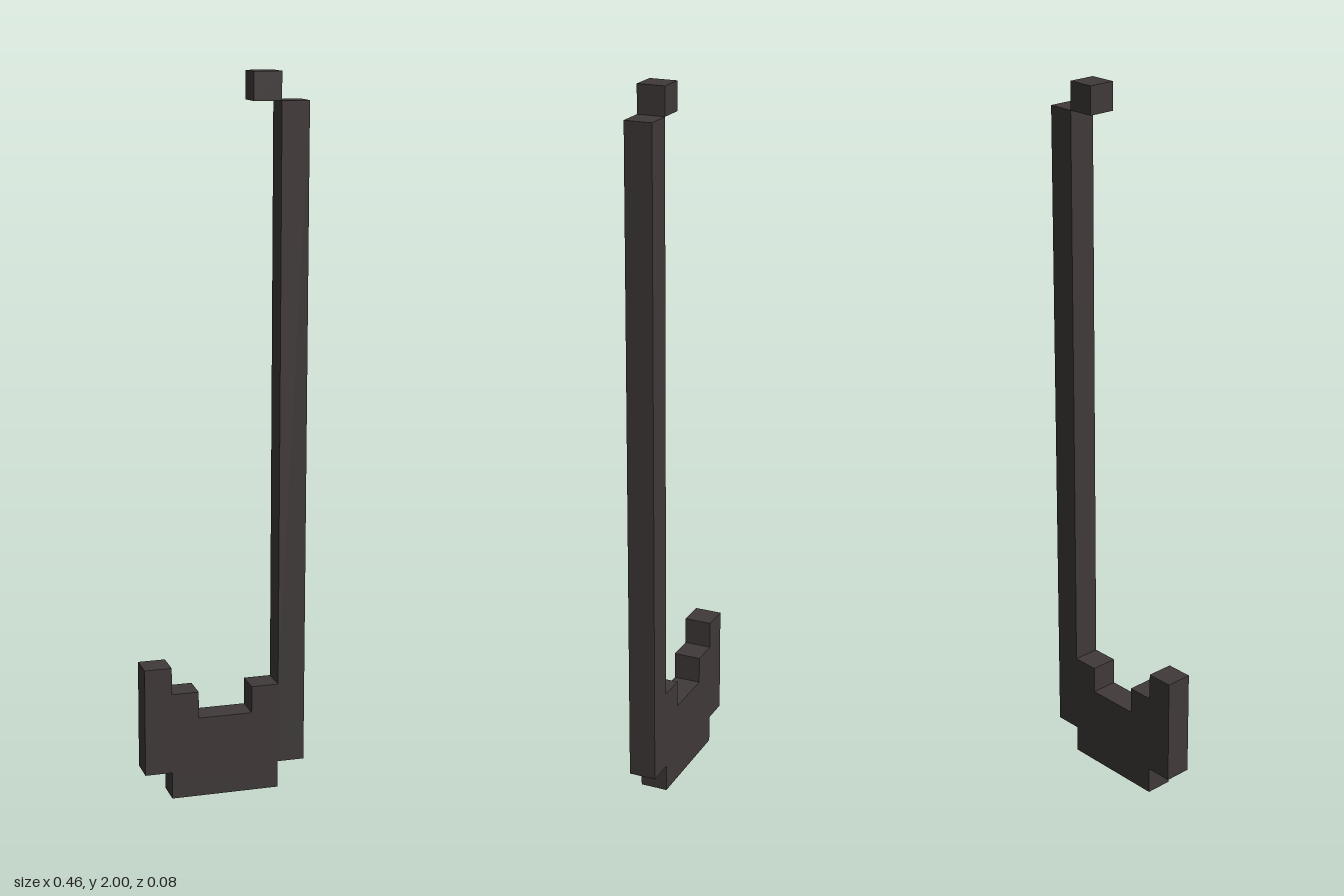
import * as THREE from 'three';

// One block of the grid: the model is 26 blocks tall, 6 wide, 1 deep
const U = 2 / 26;

export function createModel() {
  const model = new THREE.Group();
  model.name = 'hookedBar';

  const darkIron = new THREE.MeshStandardMaterial({ color: 0x403a39 });
  darkIron.name = 'darkIron';

  // Stepped hook and tall shaft as one outline, in block units, counter-clockwise
  const outline = [
    [-2, 0], [2, 0], [2, 1], [3, 1], [3, 25], [2, 25], [2, 4], [1, 4],
    [1, 3], [-1, 3], [-1, 4], [-2, 4], [-2, 5], [-3, 5], [-3, 1], [-2, 1],
  ].map(([x, y]) => new THREE.Vector2(x * U, y * U));
  const hookGeometry = new THREE.ExtrudeGeometry(new THREE.Shape(outline), {
    depth: U,
    bevelEnabled: false,
  });
  hookGeometry.translate(0, 0, -U / 2);
  const hook = new THREE.Mesh(hookGeometry, darkIron);
  hook.name = 'hookAndShaft';
  model.add(hook);

  // Single block touching the shaft's upper corner
  const tip = new THREE.Mesh(new THREE.BoxGeometry(U, U, U), darkIron);
  tip.name = 'tip';
  tip.position.set(1.5 * U, 25.5 * U, 0);
  model.add(tip);

  return model;
}
